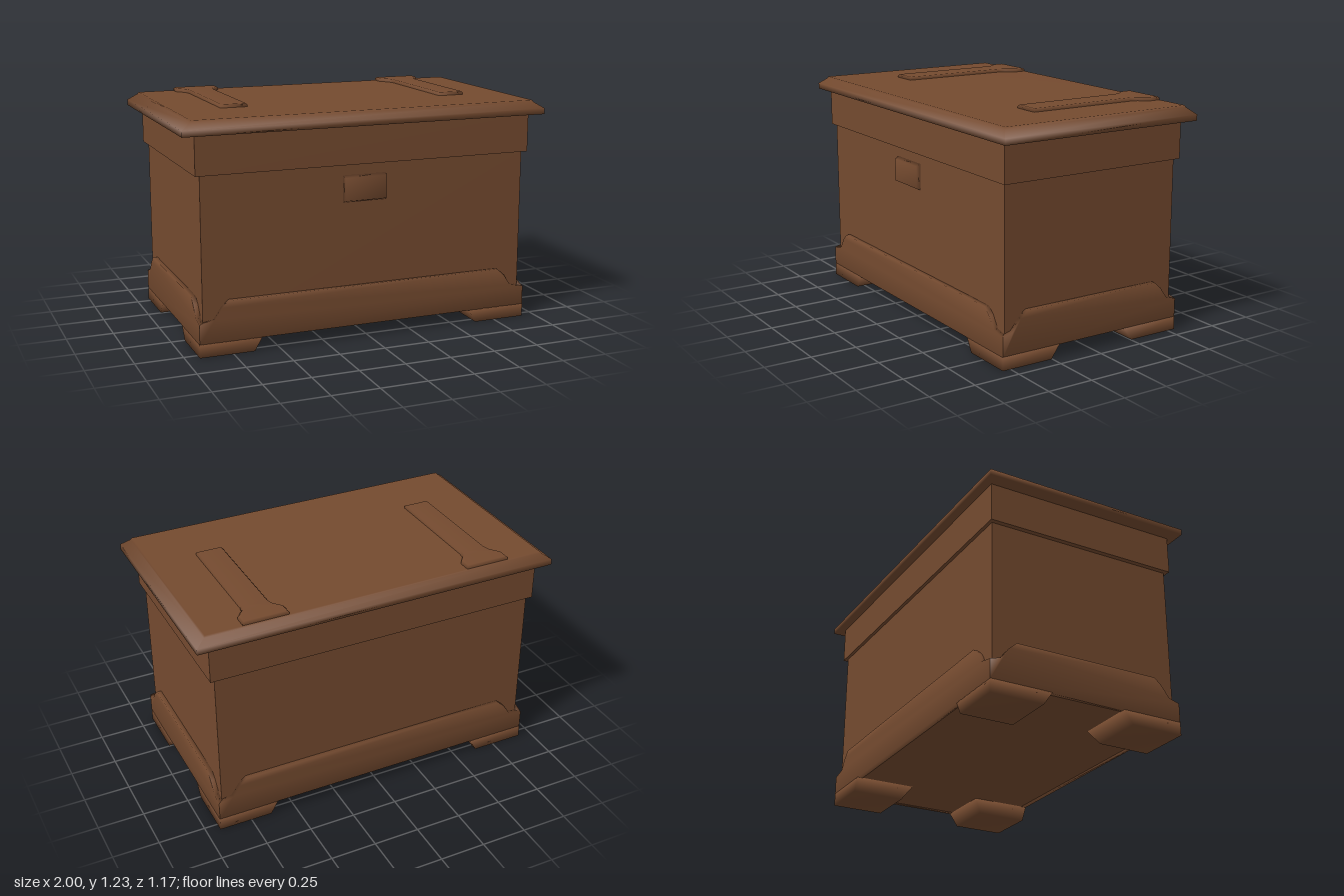
import * as THREE from 'three';
import { mergeVertices } from 'three/addons/utils/BufferGeometryUtils.js';

const wood = new THREE.MeshStandardMaterial({ color: 0x744a2f });
wood.name = 'brown wood';

// Share vertices so the shading runs softly over the edges
function soften(geo) {
  geo.deleteAttribute('normal');
  geo.deleteAttribute('uv');
  const out = mergeVertices(geo, 1e-4);
  out.computeVertexNormals();
  return out;
}

// Closed solid through rectangles [y, x0, x1, z0, z1], listed from bottom to top
function loft(rings) {
  const pos = [], idx = [];
  for (const [y, x0, x1, z0, z1] of rings) {
    pos.push(x0, y, z1, x1, y, z1, x1, y, z0, x0, y, z0);
  }
  for (let r = 0; r < rings.length - 1; r++) {
    for (let i = 0; i < 4; i++) {
      const a = r * 4 + i, b = r * 4 + (i + 1) % 4;
      idx.push(a, b, b + 4, a, b + 4, a + 4);
    }
  }
  const t = (rings.length - 1) * 4;
  idx.push(0, 2, 1, 0, 3, 2, t, t + 1, t + 2, t, t + 2, t + 3);
  const geo = new THREE.BufferGeometry();
  geo.setAttribute('position', new THREE.Float32BufferAttribute(pos, 3));
  geo.setIndex(idx);
  geo.computeVertexNormals();
  return geo;
}

const shapeOf = (pts) => new THREE.Shape(pts.map(([x, y]) => new THREE.Vector2(x, y)));

export function createModel() {
  const model = new THREE.Group();
  const add = (name, geo, parent = model) => {
    const mesh = new THREE.Mesh(geo, wood);
    mesh.name = name;
    parent.add(mesh);
    return mesh;
  };

  // Box body, its floor level with the skirting, and the wider collar under the lid
  add('body', new THREE.BoxGeometry(1.804, 0.859, 1.042)).position.y = 0.5005;
  add('collar', new THREE.BoxGeometry(1.856, 0.205, 1.078)).position.y = 1.0325;

  // Lid with bevelled rim
  add('lid', loft([
    [1.135, -1, 1, -0.583, 0.583],
    [1.167, -1, 1, -0.583, 0.583],
    [1.2, -0.95, 0.95, -0.55, 0.55],
    [1.21, -0.943, 0.943, -0.546, 0.546],
  ]));

  // Thin skirting boards, dipping towards the corners
  const thick = 0.03;
  function board(name, half, dip, shoulder, outer, angle) {
    const shape = shapeOf([
      [-half, 0.07], [half, 0.07], [half, 0.172], [dip, 0.19],
      [shoulder + 0.04, 0.25], [shoulder, 0.285], [-shoulder, 0.285],
      [-shoulder - 0.04, 0.25], [-dip, 0.19], [-half, 0.172],
    ]);
    const geo = new THREE.ExtrudeGeometry(shape, { depth: thick, bevelEnabled: false });
    geo.translate(0, 0, outer - thick);
    add(name, soften(geo)).rotation.y = angle;
  }
  board('frontSkirt', 0.926, 0.845, 0.765, 0.545, 0);
  board('backSkirt', 0.926, 0.845, 0.765, 0.545, Math.PI);
  board('leftSkirt', 0.544, 0.485, 0.4, 0.927, Math.PI / 2);
  board('rightSkirt', 0.544, 0.485, 0.4, 0.927, -Math.PI / 2);

  // Four corner feet, narrowing from the floor of the body to the ground
  const feet = new THREE.Group();
  feet.name = 'feet';
  model.add(feet);
  const span = (s, inner, outer) => (s > 0 ? [inner, outer] : [-outer, -inner]);
  for (const sx of [-1, 1]) {
    for (const sz of [-1, 1]) {
      add('foot', loft([
        [0, ...span(sx, 0.635, 0.927), ...span(sz, 0.255, 0.545)],
        [0.072, ...span(sx, 0.595, 0.927), ...span(sz, 0.205, 0.545)],
      ]), feet);
    }
  }

  // Hinge straps on the lid, flaring at the back
  const strapShape = shapeOf([
    [-0.073, -0.215], [0.073, -0.215], [0.073, 0.39], [0.082, 0.43],
    [0.122, 0.48], [0.122, 0.545], [-0.122, 0.545], [-0.122, 0.48],
    [-0.082, 0.43], [-0.073, 0.39],
  ]);
  for (const x of [-0.622, 0.627]) {
    const geo = new THREE.ExtrudeGeometry(strapShape, {
      depth: 0.02, bevelThickness: 0.008, bevelSize: 0.008, bevelOffset: -0.008, bevelSegments: 1,
    });
    geo.rotateX(-Math.PI / 2);
    add('hingeStrap', soften(geo)).position.set(x, 1.2, 0);
  }

  // Latch plate on the front
  const latch = loft([
    [0, -0.12, 0.12, -0.072, 0.072],
    [0.025, -0.115, 0.115, -0.06, 0.06],
  ]);
  latch.rotateX(Math.PI / 2);
  add('latch', latch).position.set(-0.022, 0.803, 0.52);

  return model;
}
